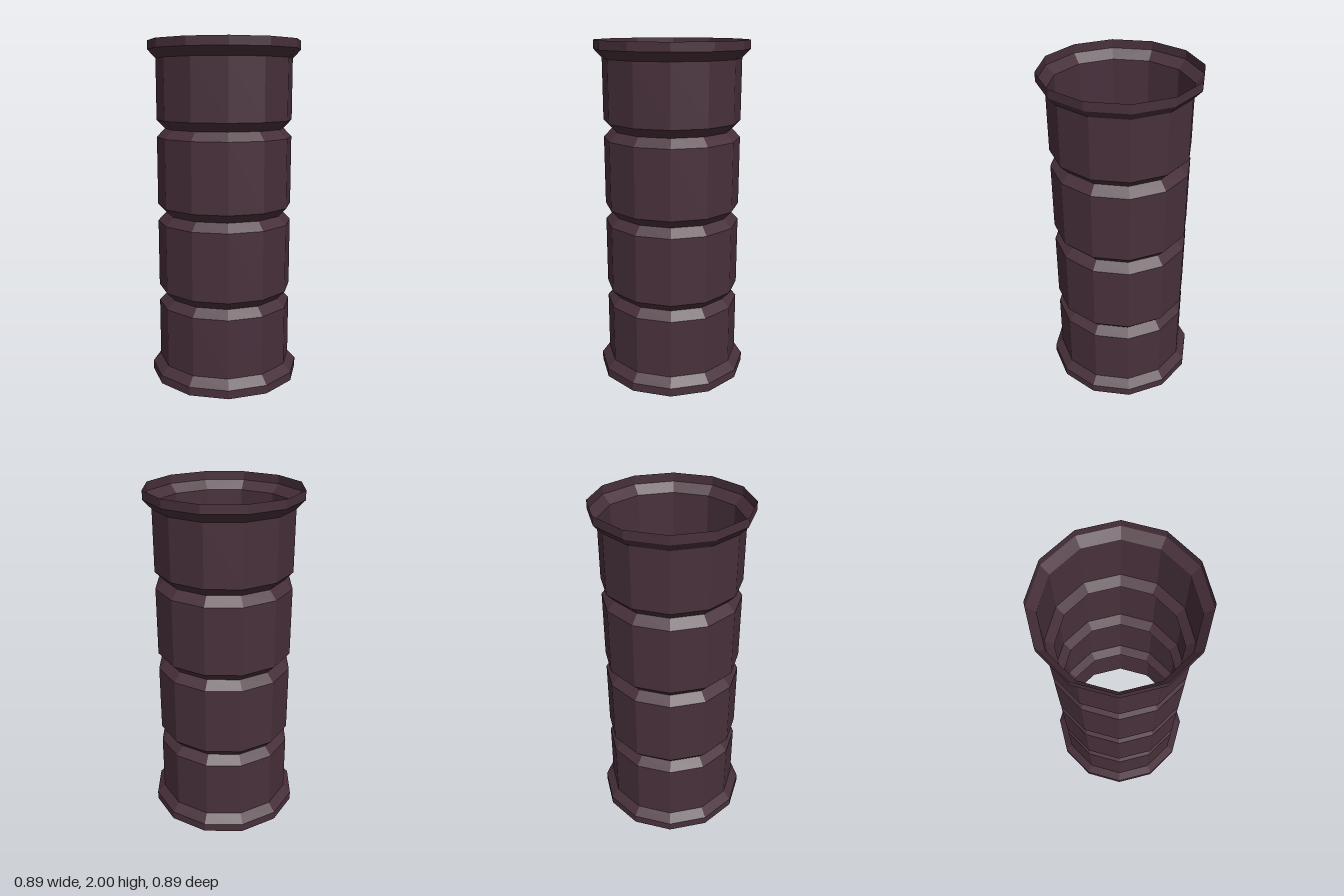
import * as THREE from 'three';

const SIDES = 12;
const HEIGHT = 2;
const RIM = 0.445, WALL = 0.398, GROOVE = 0.35;
const STEP = 0.05; // height of each bevel and of the rim band

export function createModel() {
  const group = new THREE.Group();
  group.name = 'ribbedTube';

  // Open single-skin tube, so the inside shows too
  const material = new THREE.MeshStandardMaterial({
    color: 0x48303b,
    flatShading: true,
    side: THREE.DoubleSide,
  });

  // Revolve [radius, y] pairs, listed bottom to top
  function addRing(name, profile) {
    const points = profile.map(([r, y]) => new THREE.Vector2(r, y));
    const mesh = new THREE.Mesh(new THREE.LatheGeometry(points, SIDES), material);
    mesh.name = name;
    group.add(mesh);
  }

  // Flared rims: a straight band and a bevel down to the wall
  const rim = [[RIM, 0], [RIM, STEP], [WALL, 2 * STEP]];
  addRing('bottomRim', rim);
  addRing('topRim', rim.map(([r, y]) => [r, HEIGHT - y]).reverse());

  // Wall with three V-shaped grooves
  const wall = [[WALL, 2 * STEP]];
  for (const y of [0.5, 1, 1.5]) {
    wall.push([WALL, y - STEP], [GROOVE, y], [WALL, y + STEP]);
  }
  wall.push([WALL, HEIGHT - 2 * STEP]);
  addRing('groovedWall', wall);

  return group;
}
